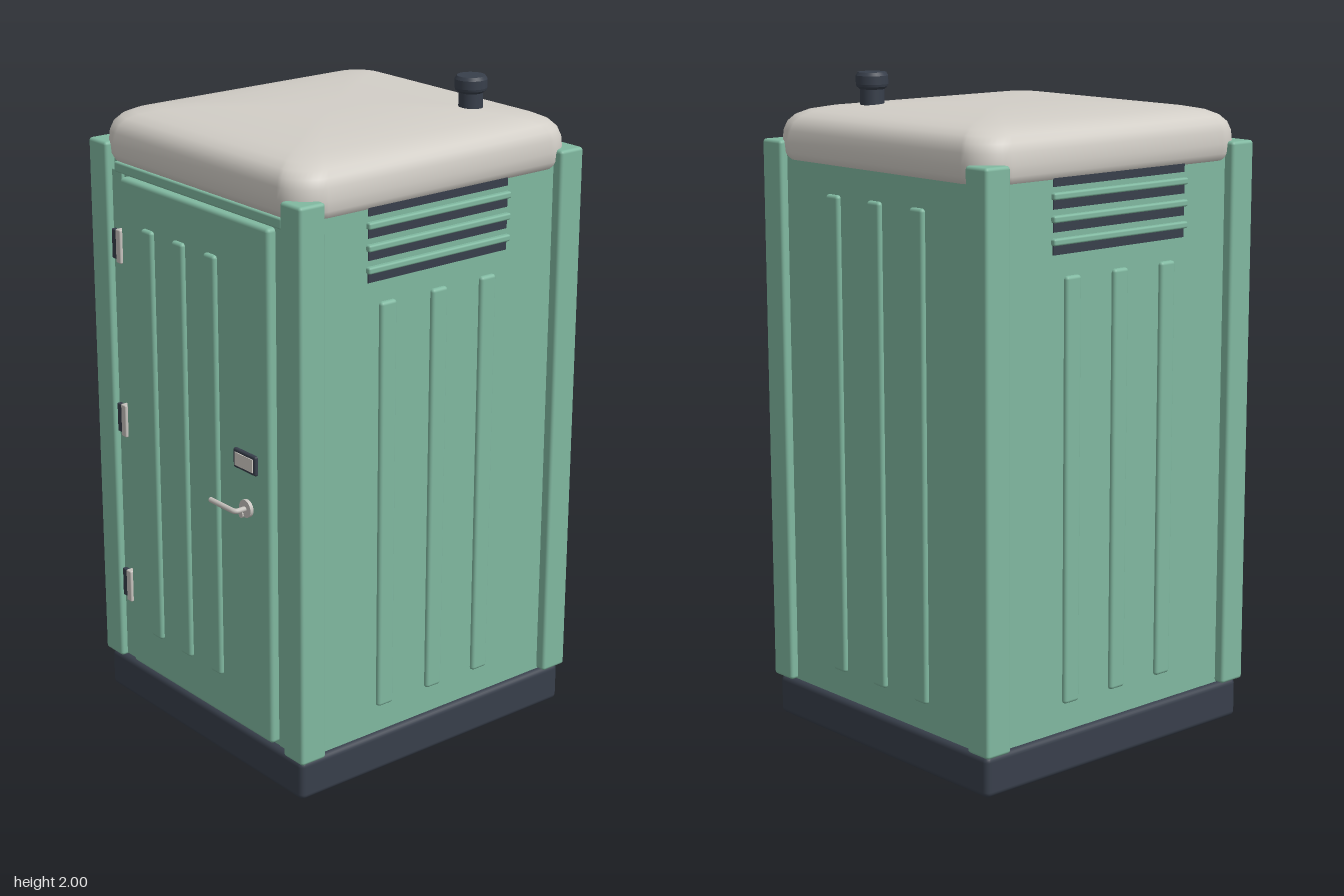
import * as THREE from 'three';
import { RoundedBoxGeometry } from 'three/addons/geometries/RoundedBoxGeometry.js';

const material = (name, color) => {
  const m = new THREE.MeshStandardMaterial({ color });
  m.name = name;
  return m;
};

// Stack of rounded-rectangle rings, [inset, y] from bottom to top, capped at both ends
function roofGeometry(hx, hz, radius, levels) {
  const perCorner = 10, n = 4 * (perCorner + 1), pos = [], idx = [];
  for (const [inset, y] of levels) {
    const a = hx - inset, b = hz - inset, r = Math.max(radius - inset * 0.3, 0.03);
    for (let c = 0; c < 4; c++) {
      const sx = c === 0 || c === 3 ? 1 : -1, sz = c < 2 ? 1 : -1;
      for (let i = 0; i <= perCorner; i++) {
        const t = (c + i / perCorner) * Math.PI / 2;
        pos.push(sx * (a - r) + r * Math.cos(t), y, sz * (b - r) + r * Math.sin(t));
      }
    }
  }
  for (let l = 0; l < levels.length - 1; l++) {
    for (let i = 0; i < n; i++) {
      const p = l * n + i, q = l * n + (i + 1) % n;
      idx.push(p, p + n, q, q, p + n, q + n);
    }
  }
  const bottom = pos.length / 3, top = bottom + 1, last = (levels.length - 1) * n;
  pos.push(0, levels[0][1], 0, 0, levels[levels.length - 1][1], 0);
  for (let i = 0; i < n; i++) {
    const j = (i + 1) % n;
    idx.push(bottom, i, j, top, last + j, last + i);
  }
  const g = new THREE.BufferGeometry();
  g.setAttribute('position', new THREE.Float32BufferAttribute(pos, 3));
  g.setIndex(idx);
  g.computeVertexNormals();
  return g;
}

export function createModel() {
  const model = new THREE.Group();
  model.name = 'portableCabin';
  const green = material('green plastic', 0x80b8a0);
  const dark = material('dark plastic', 0x383f4b);
  const pale = material('pale roof', 0xd2cec7);
  const metal = material('light metal', 0xc6c2bd);

  const add = (name, geometry, mat, x = 0, y = 0, z = 0) => {
    const mesh = new THREE.Mesh(geometry, mat);
    mesh.name = name;
    mesh.position.set(x, y, z);
    model.add(mesh);
    return mesh;
  };
  // Box given by its limits, with optional rounded edges
  const box = (name, mat, [x0, x1], [y0, y1], [z0, z1], r = 0) => {
    const w = x1 - x0, h = y1 - y0, d = z1 - z0;
    const g = r ? new RoundedBoxGeometry(w, h, d, 3, r) : new THREE.BoxGeometry(w, h, d);
    return add(name, g, mat, (x0 + x1) / 2, (y0 + y1) / 2, (z0 + z1) / 2);
  };

  // Base and walls
  box('base', dark, [-0.49, 0.49], [0, 0.125], [-0.543, 0.493], 0.018);
  box('cabinWalls', green, [-0.473, 0.473], [0.12, 1.78], [-0.528, 0.472]);

  // Corner posts
  for (const x of [-0.46, 0.46]) {
    for (const z of [-0.508, 0.458]) {
      box('cornerPost', green, [x - 0.045, x + 0.045], [0.125, 1.8], [z - 0.045, z + 0.045], 0.01);
    }
  }

  // Roof
  add('roof', roofGeometry(0.486, 0.515, 0.1, [
    [0.06, 1.733], [0.03, 1.735], [0.012, 1.745], [0.003, 1.765], [0, 1.795], [0.003, 1.83],
    [0.012, 1.855], [0.03, 1.874], [0.06, 1.888], [0.11, 1.898], [0.2, 1.907], [0.32, 1.912], [0.42, 1.913],
  ]), pale, 0, 0, -0.026);

  // Vent pipe with cap
  const ventProfile = [[0, 1.88], [0.036, 1.88], [0.036, 1.95], [0.046, 1.958], [0.048, 1.965],
    [0.048, 1.99], [0.042, 2], [0, 2]].map(([x, y]) => new THREE.Vector2(x, y));
  const sharp = ventProfile.flatMap((p) => [p, p.clone()]);
  add('ventPipe', new THREE.LatheGeometry(sharp, 32), dark, 0.253, 0, -0.333);

  // Side walls: ribs, louvre slots and hoods
  for (const s of [-1, 1]) {
    const span = (a, b) => (s > 0 ? [a, b] : [-b, -a]);
    for (const z of [0.169, -0.021, -0.207]) {
      box('sideRib', green, span(0.46, 0.486), [0.21, 1.47], [z - 0.029, z + 0.029], 0.01);
    }
    for (const y of [1.533, 1.597, 1.661, 1.724]) {
      box('ventSlot', dark, span(0.469, 0.4755), [y, y + 0.028], [-0.28, 0.24]);
    }
    for (const y of [1.56, 1.624, 1.688]) {
      box('ventHood', green, span(0.465, 0.488), [y, y + 0.02], [-0.286, 0.246], 0.006);
    }
  }

  // Back wall ribs
  for (const x of [-0.19, 0, 0.19]) {
    box('backRib', green, [x - 0.029, x + 0.029], [0.21, 1.66], [-0.541, -0.515], 0.01);
  }

  // Door frame and door
  box('frameHeader', green, [-0.4, 0.4], [1.713, 1.745], [0.46, 0.486], 0.006);
  for (const [a, b] of [[-0.418, -0.365], [0.37, 0.412]]) {
    box('frameJamb', green, [a, b], [0.13, 1.72], [0.46, 0.482], 0.004);
  }
  box('door', green, [-0.353, 0.358], [0.135, 1.708], [0.46, 0.5], 0.012);
  for (const x of [-0.207, -0.054, 0.099]) {
    box('doorRib', green, [x - 0.027, x + 0.027], [0.273, 1.58], [0.485, 0.513], 0.01);
  }

  // Hinges
  for (const y of [1.493, 0.94, 0.388]) {
    box('hingePlate', dark, [-0.41, -0.372], [y - 0.046, y + 0.046], [0.475, 0.495], 0.004);
    box('hingeLeaf', metal, [-0.38, -0.355], [y - 0.052, y + 0.052], [0.475, 0.502], 0.004);
  }

  // Occupancy indicator
  box('indicatorFrame', dark, [0.2, 0.305], [0.97, 1.03], [0.49, 0.51], 0.006);
  box('indicatorWindow', pale, [0.212, 0.295], [0.98, 1.02], [0.506, 0.513]);

  // Lever handle
  add('handleRose', new THREE.CylinderGeometry(0.027, 0.027, 0.012, 32), metal, 0.255, 0.857, 0.505).rotation.x = Math.PI / 2;
  add('handleLock', new THREE.CylinderGeometry(0.01, 0.01, 0.02, 16), metal, 0.24, 0.835, 0.505).rotation.x = Math.PI / 2;
  const path = new THREE.CurvePath();
  const v = (x, z) => new THREE.Vector3(x, 0.857, z);
  path.add(new THREE.LineCurve3(v(0.255, 0.5), v(0.255, 0.533)));
  path.add(new THREE.QuadraticBezierCurve3(v(0.255, 0.533), v(0.255, 0.546), v(0.24, 0.546)));
  path.add(new THREE.LineCurve3(v(0.24, 0.546), v(0.14, 0.546)));
  add('handleLever', new THREE.TubeGeometry(path, 40, 0.008, 12), metal);
  add('handleTip', new THREE.SphereGeometry(0.008, 12, 10), metal, 0.14, 0.857, 0.546);

  return model;
}
